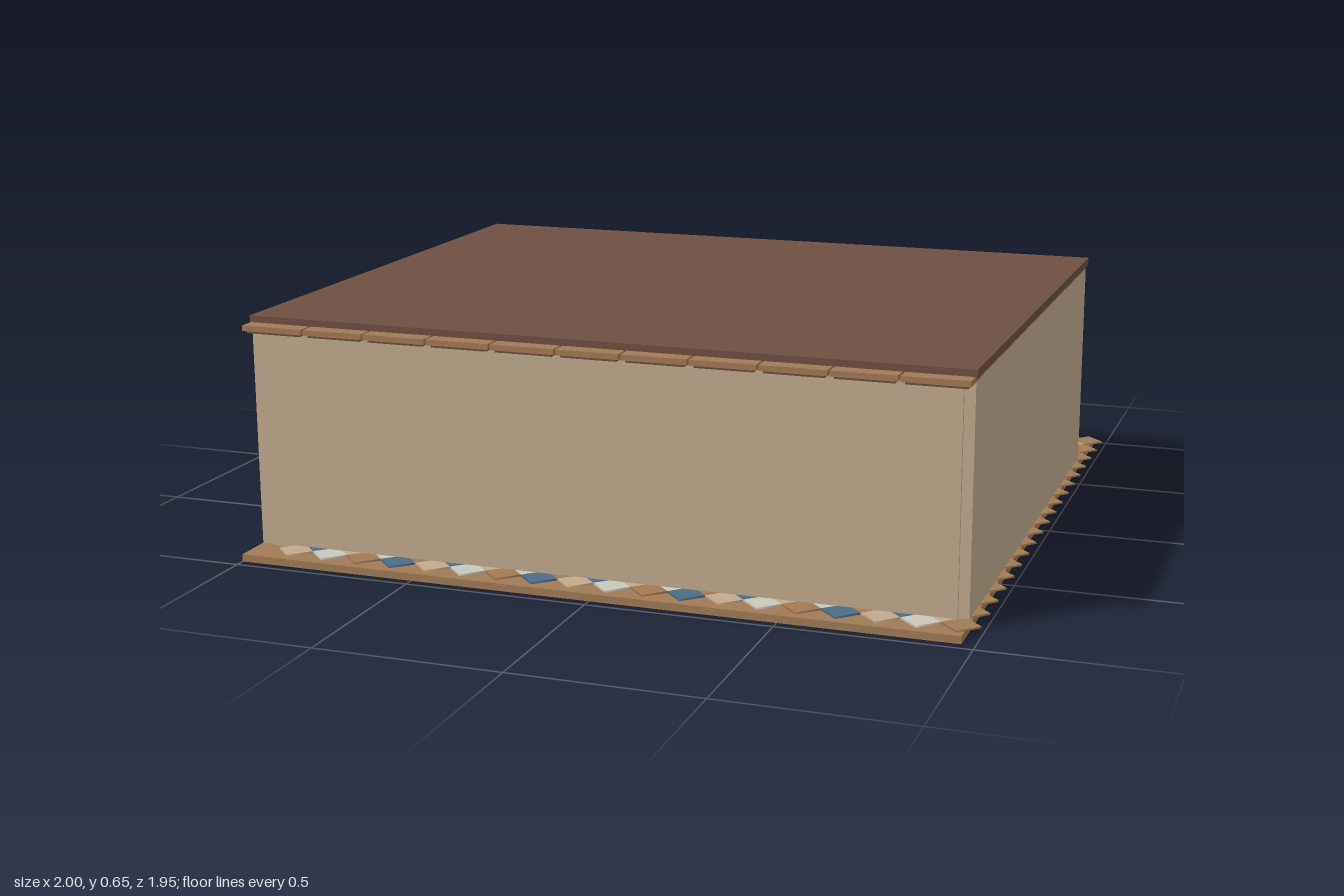
import * as THREE from 'three';
import { mergeGeometries } from 'three/addons/utils/BufferGeometryUtils.js';

const mat = (name, color) => {
  const m = new THREE.MeshStandardMaterial({ color });
  m.name = name;
  return m;
};

export function createModel() {
  const wood = mat('wood', 0xa07a54);
  const plaster = mat('plaster', 0xc0aa8e);
  const gateWood = mat('gate wood', 0xc4a678);
  const roofBrown = mat('roof brown', 0x6d4f43);
  const blue = mat('blue tile', 0x4c6d87);
  const cream = mat('cream tile', 0xcac6ba);

  const house = new THREE.Group();
  house.name = 'house';
  const add = (name, geometry, material) => {
    const mesh = new THREE.Mesh(geometry, material);
    mesh.name = name;
    house.add(mesh);
  };
  // box given by its lower and upper limits on each axis
  const block = (x0, x1, y0, y1, z0, z1) =>
    new THREE.BoxGeometry(x1 - x0, y1 - y0, z1 - z0)
      .translate((x0 + x1) / 2, (y0 + y1) / 2, (z0 + z1) / 2);

  // ground slab
  add('baseSlab', block(-1, 0.965, 0, 0.02, -0.963, 0.972), wood);

  // diamond floor tiles, laid in columns whose colours repeat every eight
  const step = 0.0507;
  const order = [blue, wood, plaster, blue, cream, plaster, wood, cream];
  const tiles = new Map();
  for (let c = -6; c <= 30; c++) {
    const odd = Math.abs(c % 2);
    const material = order[(c + 8) % 8];
    if (!tiles.has(material)) tiles.set(material, []);
    for (let r = 0; r < 19 - odd; r++) {
      tiles.get(material).push(
        new THREE.CylinderGeometry(step, step, 0.005, 4)
          .translate(-0.573 + c * step, 0.0225, -0.925 + (2 * r + odd) * step));
    }
  }
  for (const [material, list] of tiles) {
    add('floorTiles ' + material.name, mergeGeometries(list), material);
  }

  // outer walls, the front one standing slightly proud of the sides
  const bottom = 0.02, top = 0.623;
  add('frontWall', block(-0.96, 0.932, bottom, top, 0.835, 0.87), plaster);
  add('rightWall', block(-1, -0.96, bottom, top, -0.7, 0.862), plaster);
  add('leftWall', block(0.932, 0.96, bottom, top, -0.7, 0.862), plaster);
  add('backWallRight', block(-0.96, -0.25, bottom, top, -0.7, -0.67), plaster);
  add('backWallLeft', block(0, 0.932, bottom, top, -0.7, -0.67), plaster);

  // recessed entrance panel with an arched doorway
  const panel = new THREE.Shape();
  panel.moveTo(-0.25, bottom).lineTo(0, bottom).lineTo(0, top).lineTo(-0.25, top).closePath();
  const arch = new THREE.Path();
  arch.moveTo(-0.21, 0.026).lineTo(-0.21, 0.32);
  arch.absarc(-0.115, 0.32, 0.095, Math.PI, 0, true);
  arch.lineTo(-0.02, 0.026).closePath();
  panel.holes.push(arch);
  add('entrancePanel',
    new THREE.ExtrudeGeometry(panel, { depth: 0.02, bevelEnabled: false, curveSegments: 16 })
      .translate(0, 0, -0.675), plaster);

  // open-topped porch
  add('porchSideRight', block(-0.254, -0.246, bottom, 0.408, -0.89, -0.7), plaster);
  add('porchSideLeft', block(-0.008, 0, bottom, 0.408, -0.89, -0.7), plaster);
  add('porchGate', block(-0.254, 0, bottom, 0.416, -0.9, -0.885), gateWood);

  // grid of ceiling boards, each with a smaller dark backing board underneath
  const boards = [], backings = [];
  const xs = [-1, -0.82, -0.645, -0.465, -0.285, -0.105, 0.07, 0.25, 0.43, 0.61, 0.785, 0.963];
  const zs = [0.922, 0.75, 0.57, 0.39, 0.21, 0.03, -0.15, -0.33, -0.51, -0.7];
  for (let i = 0; i < xs.length - 1; i++) {
    for (let j = 0; j < zs.length - 1; j++) {
      const [x0, x1, z0, z1] = [xs[i], xs[i + 1], zs[j + 1], zs[j]];
      boards.push(block(x0 + 0.003, x1 - 0.003, 0.622, 0.637, z0 + 0.003, z1 - 0.003));
      backings.push(block(x0 + 0.012, x1 - 0.012, 0.615, 0.622, z0 + 0.012, z1 - 0.012));
    }
  }
  add('ceilingBoards', mergeGeometries(boards), wood);
  add('ceilingBackings', mergeGeometries(backings), roofBrown);

  // flat roof
  add('roof', block(-1, 0.965, 0.633, 0.655, -0.71, 0.873), roofBrown);

  return house;
}
